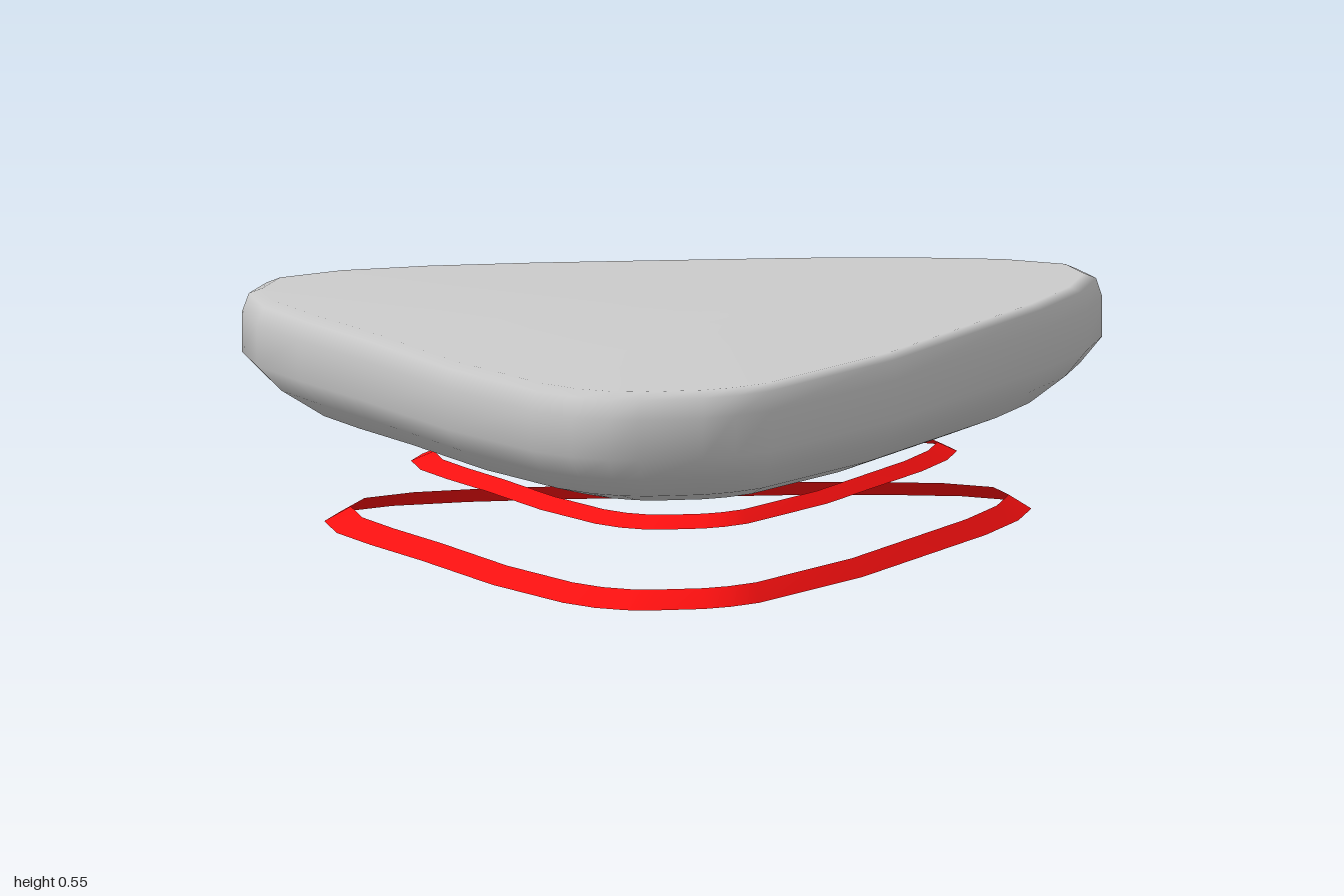
import * as THREE from 'three';

// Rounded triangular plan outline (x, z), clockwise seen from above
const OUTLINE = [
  [-0.94, -0.71], [-0.78, -0.775], [-0.56, -0.8], [-0.3, -0.8], [0, -0.785],
  [0.35, -0.765], [0.62, -0.73], [0.83, -0.68], [0.97, -0.6], [1, -0.48],
  [0.94, -0.32], [0.82, -0.13], [0.39, 0.41], [0.05, 0.73], [-0.04, 0.775],
  [-0.12, 0.795], [-0.27, 0.795], [-0.34, 0.78], [-0.42, 0.735], [-0.5, 0.65],
  [-0.66, 0.37], [-0.81, 0], [-0.92, -0.24], [-0.99, -0.42], [-1, -0.59],
];

// Skin scaled copies of the outline; levels are [scale, y] from top to bottom
function loft(levels) {
  const n = OUTLINE.length, positions = [], index = [];
  levels.forEach(([s, y], k) => {
    OUTLINE.forEach(([x, z], i) => {
      positions.push(x * s, y, z * s);
      if (k === levels.length - 1) return;
      const a = k * n + i, b = k * n + (i + 1) % n, c = a + n, d = b + n;
      if (s > 0) index.push(a, b, d);
      if (levels[k + 1][0] > 0) index.push(a, d, c);
    });
  });
  const geometry = new THREE.BufferGeometry();
  geometry.setAttribute('position', new THREE.Float32BufferAttribute(positions, 3));
  geometry.setIndex(index);
  geometry.computeVertexNormals();
  return geometry;
}

export function createModel() {
  const group = new THREE.Group();
  const grey = new THREE.MeshStandardMaterial({ color: 0xcccccc });
  const red = new THREE.MeshStandardMaterial({ color: 0xff1010, side: THREE.DoubleSide });

  const add = (name, levels, material) => {
    const mesh = new THREE.Mesh(loft(levels), material);
    mesh.name = name;
    group.add(mesh);
  };

  // Pebble-like hovering body: flat top, upright rim, curved underside
  add('body', [
    [0, 0.545], [0.955, 0.54], [0.985, 0.525], [1, 0.48], [1, 0.385],
    [0.945, 0.33], [0.85, 0.275], [0.7, 0.24], [0.48, 0.215], [0, 0.212],
  ], grey);

  // Thin sloping bands floating below the body
  add('upperRing', [[0.585, 0.187], [0.635, 0.16]], red);
  add('lowerRing', [[0.765, 0.04], [0.822, 0]], red);
  return group;
}
